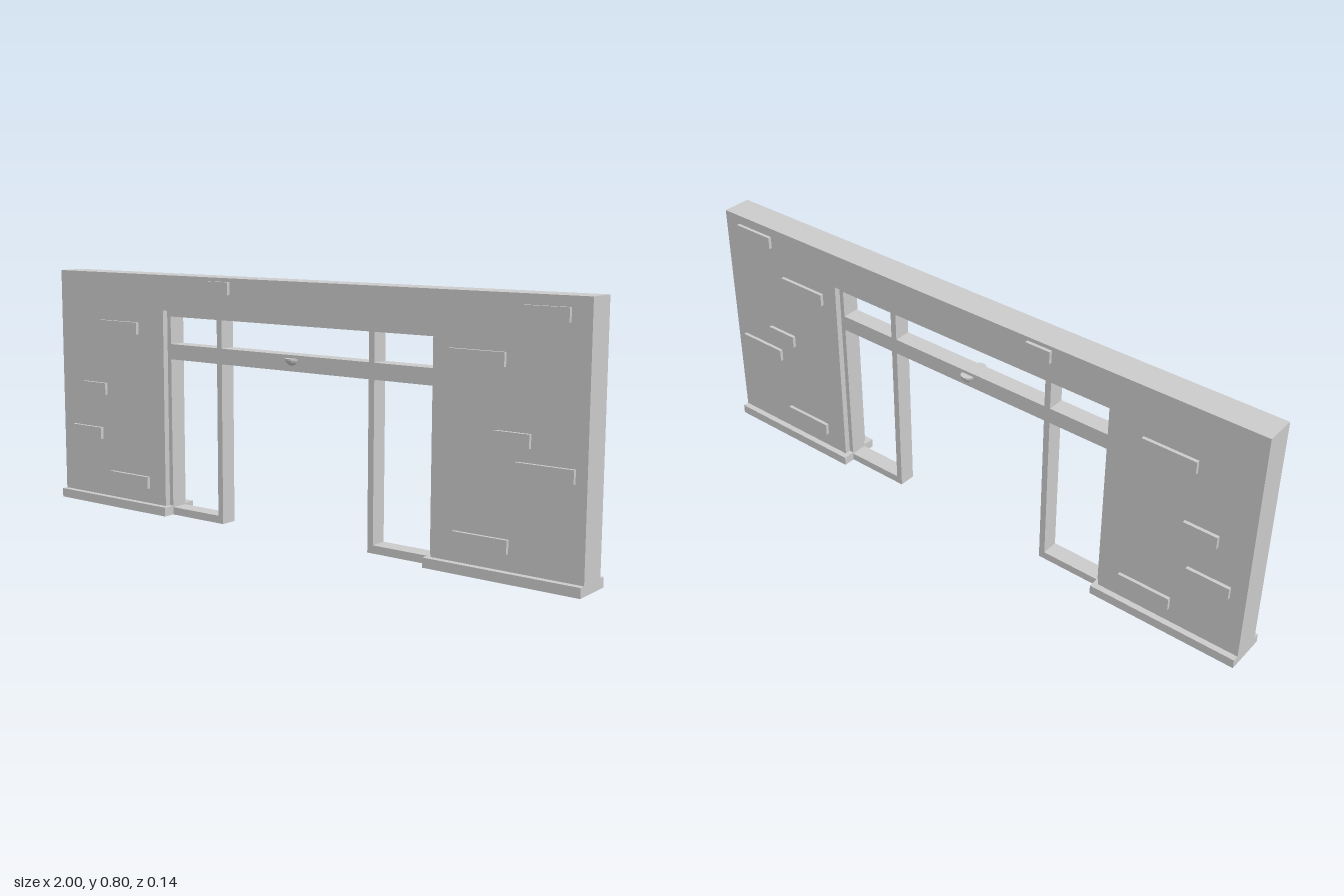
import * as THREE from 'three';

const material = new THREE.MeshStandardMaterial({ color: 0xcccccc, flatShading: true, side: THREE.DoubleSide });

function addMesh(parent, name, geometry) {
  const mesh = new THREE.Mesh(geometry, material);
  mesh.name = name;
  parent.add(mesh);
  return mesh;
}

// Box given by its limits along each axis
function addBox(parent, name, [x0, x1], [y0, y1], [z0, z1], openBottom = false) {
  const geometry = new THREE.BoxGeometry(x1 - x0, y1 - y0, z1 - z0);
  if (openBottom) {
    // Leave out the downward face, the fourth of the box's six sides
    const index = Array.from(geometry.index.array);
    index.splice(18, 6);
    geometry.setIndex(index);
    geometry.clearGroups();
  }
  geometry.translate((x0 + x1) / 2, (y0 + y1) / 2, (z0 + z1) / 2);
  return addMesh(parent, name, geometry);
}

export function createModel() {
  const model = new THREE.Group();
  model.name = 'wallWithDoorway';
  const halfWall = 0.048, top = 0.795, foot = 0.03;

  // Wall with a wide doorway cut up from the ground
  const outline = new THREE.Shape([
    [-1, foot], [-0.52, foot], [-0.52, 0.68], [0.52, 0.68],
    [0.52, foot], [1, foot], [1, top], [-1, top],
  ].map(([x, y]) => new THREE.Vector2(x, y)));
  const wall = new THREE.ExtrudeGeometry(outline, { depth: halfWall * 2, bevelEnabled: false });
  addMesh(model, 'wall', wall.translate(0, 0, -halfWall));

  // Hollow plinths under both wall ends
  addBox(model, 'plinthRight', [-1, -0.505], [0, foot], [-0.068, 0.068], true);
  addBox(model, 'plinthLeft', [0.505, 1], [0, foot], [-0.068, 0.068], true);

  // Door frame: jambs, mullions and sills mirrored, head and transom across
  const frame = new THREE.Group();
  frame.name = 'doorFrame';
  model.add(frame);
  const depth = [-0.028, 0.028];
  for (const [side, s] of [['Left', 1], ['Right', -1]]) {
    const span = (a, b) => (s > 0 ? [a, b] : [-b, -a]);
    addBox(frame, 'jamb' + side, span(0.505, 0.52), [0, 0.68], depth);
    addBox(frame, 'mullion' + side, span(0.285, 0.305), [0, 0.665], depth);
    addBox(frame, 'sill' + side, span(0.305, 0.505), [0, 0.025], depth, true);
  }
  addBox(frame, 'head', [-0.505, 0.505], [0.66, 0.68], depth);
  addBox(frame, 'transom', [-0.505, 0.505], [0.52, 0.57], depth);

  // Half-round lamp on each face of the transom
  for (const [side, s] of [['Front', 1], ['Back', -1]]) {
    const bowl = new THREE.SphereGeometry(0.022, 12, 6, 0, Math.PI * 2, Math.PI / 2, Math.PI / 2);
    const lamp = addMesh(frame, 'lamp' + side, bowl);
    lamp.position.set(0, 0.56, s * 0.028);
    const lid = addMesh(lamp, 'lampTop', new THREE.CircleGeometry(0.022, 12));
    lid.rotation.x = -Math.PI / 2;
  }

  // Raised bricks, the same on both faces: centre x, centre y, width
  const bricks = [
    [-0.72, 0.615, 0.175], [-0.84, 0.4, 0.11], [-0.88, 0.245, 0.14], [-0.68, 0.1, 0.175],
    [-0.275, 0.763, 0.085],
    [0.867, 0.745, 0.145], [0.663, 0.615, 0.175], [0.777, 0.4, 0.11], [0.878, 0.32, 0.175], [0.683, 0.1, 0.175],
  ];
  for (const [x, y, w] of bricks) {
    for (const [side, z] of [['Front', [0.045, 0.059]], ['Back', [-0.059, -0.045]]]) {
      addBox(model, 'brick' + side, [x - w / 2, x + w / 2], [y - 0.02, y + 0.02], z);
    }
  }
  return model;
}
